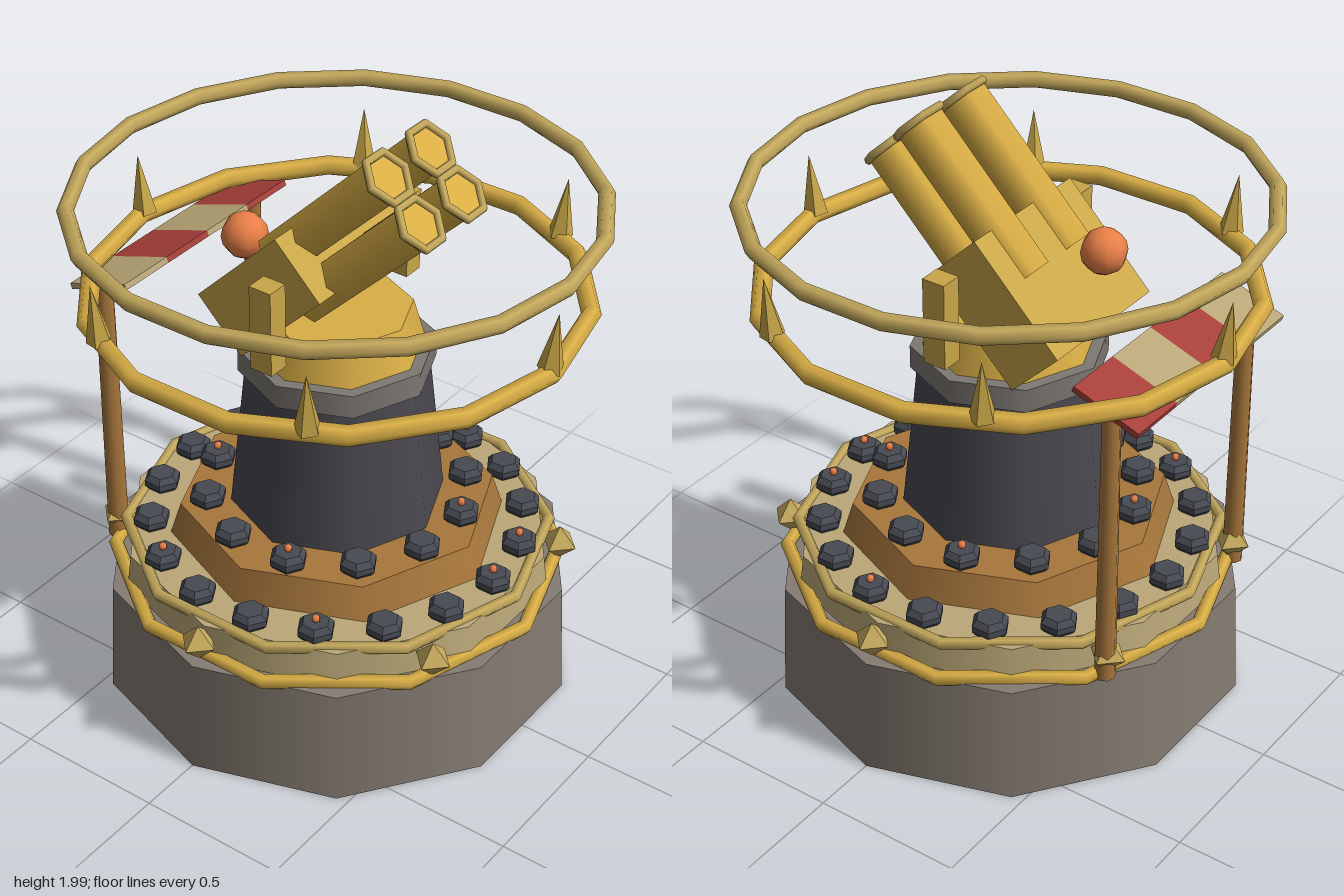
import * as THREE from 'three';

const mat = (color, flatShading = false) => new THREE.MeshStandardMaterial({ color, flatShading });
const STONE = mat(0x857c72), TAN = mat(0xbba878), BRONZE = mat(0xa8773c), DARK = mat(0x4a484f),
  COLLAR = mat(0x7d7872), GOLD = mat(0xd9ae45), PALE_GOLD = mat(0xc4a85c), GOLD_FLAT = mat(0xc9a648, true),
  PALE_FLAT = mat(0xc4a85c, true), IRON = mat(0x474a52, true), ORANGE = mat(0xea8048), RED = mat(0xa8403a);

export function createModel() {
  const model = new THREE.Group();

  const add = (name, geometry, material, x = 0, y = 0, z = 0, parent = model) => {
    const mesh = new THREE.Mesh(geometry, material);
    mesh.name = name;
    mesh.position.set(x, y, z);
    parent.add(mesh);
    return mesh;
  };
  const group = (name) => {
    const g = new THREE.Group();
    g.name = name;
    model.add(g);
    return g;
  };
  // Upright faceted drum between two heights
  const drum = (name, material, sides, r0, r1, y0, y1) =>
    add(name, new THREE.CylinderGeometry(r1, r0, y1 - y0, sides), material, 0, (y0 + y1) / 2, 0);
  // Horizontal ring with a six-sided tube
  const ring = (name, material, sides, r, tube, y) =>
    add(name, new THREE.TorusGeometry(r, tube, 6, sides).rotateX(Math.PI / 2), material, 0, y, 0);
  // Calls fn(x, z, angle, index) at equal steps round a circle
  const around = (n, r, start, fn) => {
    for (let i = 0; i < n; i++) {
      const a = start + (i / n) * Math.PI * 2;
      fn(r * Math.cos(a), r * Math.sin(a), a, i);
    }
  };

  // Stacked base and pedestal
  drum('base', STONE, 10, 0.785, 0.765, 0, 0.4);
  drum('deck', TAN, 10, 0.715, 0.7, 0.4, 0.52);
  ring('lowerTrim', GOLD, 10, 0.735, 0.024, 0.41);
  ring('upperTrim', PALE_GOLD, 10, 0.695, 0.02, 0.515);
  drum('bronzeTier', BRONZE, 8, 0.55, 0.515, 0.52, 0.63);
  drum('pedestal', DARK, 8, 0.35, 0.295, 0.63, 1.14);
  drum('collar', COLLAR, 8, 0.317, 0.317, 1.13, 1.21);
  drum('turntable', GOLD, 8, 0.277, 0.24, 1.21, 1.34);

  // Hexagonal bolts, some with a small bead on top
  const boltProfile = [[0, 0], [0.05, 0], [0.062, 0.015], [0.062, 0.036], [0.045, 0.055], [0, 0.055]]
    .map(([x, y]) => new THREE.Vector2(x, y));
  const boltGeometry = new THREE.LatheGeometry(boltProfile, 6).rotateY(Math.PI / 2);
  const beadGeometry = new THREE.SphereGeometry(0.014, 6, 5);
  const boltRing = (name, n, r, start, y, beaded) => {
    const g = group(name);
    around(n, r, start, (x, z, a, i) => {
      add('bolt', boltGeometry, IRON, x, y, z, g);
      if (beaded.includes(i)) add('bead', beadGeometry, ORANGE, x, y + 0.065, z, g);
    });
  };
  boltRing('deckBolts', 18, 0.61, 0, 0.52, [0, 3, 6, 14, 17]);
  boltRing('tierBolts', 12, 0.425, Math.PI / 12, 0.63, [2, 5, 8, 11]);

  // Diamond studs round the deck
  const studs = group('studs');
  around(6, 0.73, Math.PI / 6, (x, z) =>
    add('stud', new THREE.OctahedronGeometry(0.063), PALE_FLAT, x, 0.475, z, studs));

  // Floating rings, the lower one carrying spikes leaning slightly outward
  ring('upperRing', PALE_GOLD, 18, 0.82, 0.027, 1.71);
  ring('spikeRing', GOLD, 14, 0.785, 0.032, 1.4);
  const spikes = group('spikes');
  around(6, 0.785, 0, (x, z, a) => {
    const spike = add('spike', new THREE.ConeGeometry(0.042, 0.2, 5), GOLD_FLAT, x, 1.51, z, spikes);
    spike.rotation.set(0, -a, -0.1, 'YXZ');
  });

  // Striped awning on two posts
  for (const z of [-0.375, 0.375]) {
    add('post', new THREE.CylinderGeometry(0.029, 0.034, 0.98, 8), BRONZE, -0.63, 0.89, z);
  }
  const awning = group('awning');
  awning.position.set(-0.627, 1.38, 0);
  awning.rotation.z = 0.33;
  for (let i = 0; i < 4; i++) {
    add('stripe', new THREE.BoxGeometry(0.24, 0.02, 0.203), i % 2 ? TAN : RED, 0, 0, -0.305 + i * 0.203, awning);
  }

  // Gun: its local y axis runs along the barrels
  const gun = group('gun');
  gun.position.set(-0.118, 1.445, 0);
  gun.rotation.z = -Math.PI / 4;
  add('housing', new THREE.BoxGeometry(0.235, 0.43, 0.5), GOLD_FLAT, 0, 0, 0, gun);
  const rimGeometry = new THREE.TorusGeometry(0.082, 0.014, 6, 6).rotateX(Math.PI / 2).rotateY(Math.PI / 2);
  for (const x of [-0.075, 0.088]) {
    for (const z of [-0.108, 0.108]) {
      add('barrel', new THREE.CylinderGeometry(0.08, 0.08, 0.57, 6), GOLD, x, 0.325, z, gun);
      add('barrelRim', rimGeometry, PALE_GOLD, x, 0.61, z, gun);
    }
  }

  // Side brackets and signal ball
  for (const z of [-0.353, 0.353]) {
    add('bracket', new THREE.BoxGeometry(0.08, 0.29, 0.073), GOLD_FLAT, 0, 1.445, z);
  }
  add('ball', new THREE.SphereGeometry(0.075, 8, 8), ORANGE, -0.27, 1.555, 0.115);

  return model;
}
